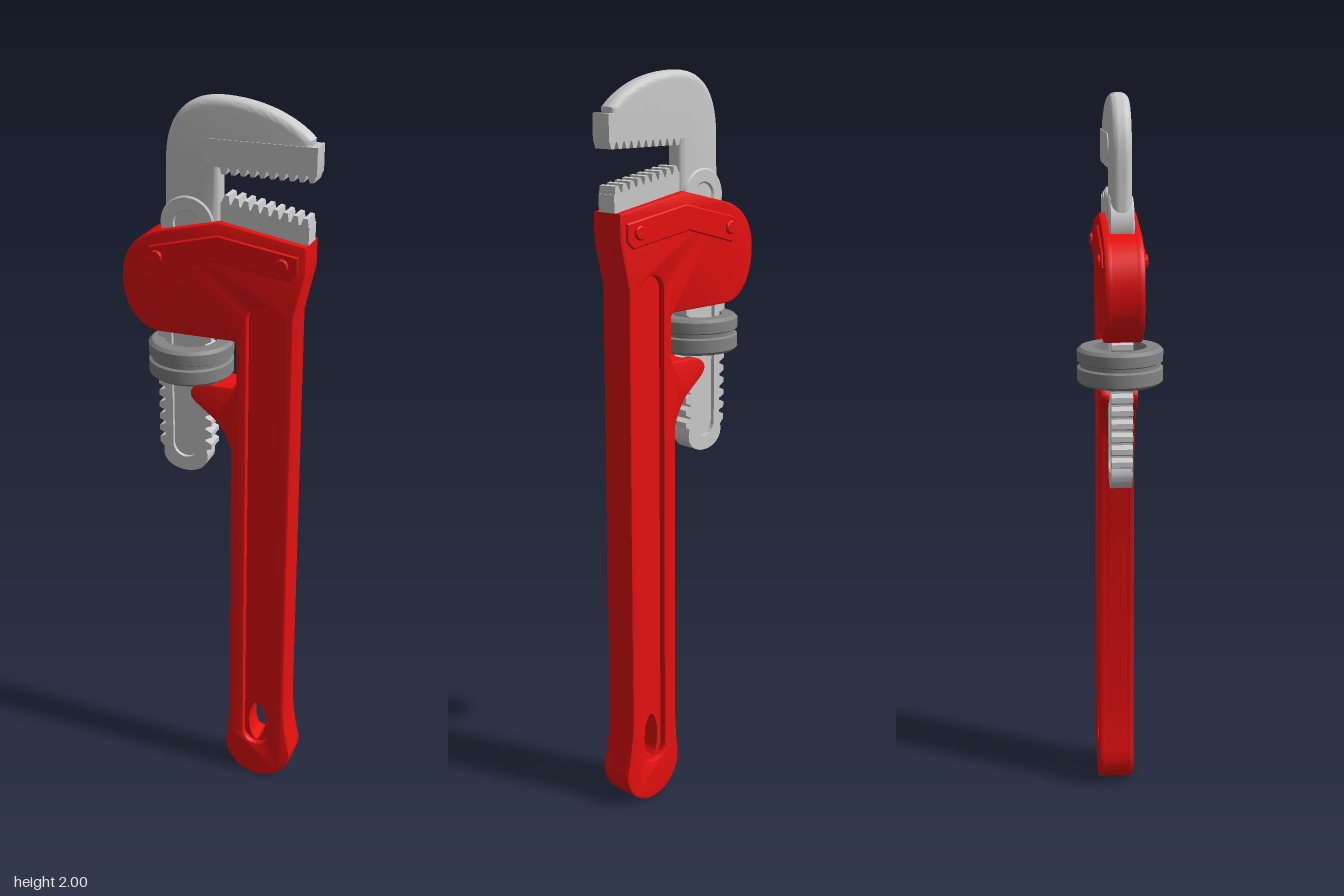
import * as THREE from 'three';
import { toCreasedNormals } from 'three/addons/utils/BufferGeometryUtils.js';

const red = new THREE.MeshStandardMaterial({ color: 0xe81010 });
const grey = new THREE.MeshStandardMaterial({ color: 0xcccccc });
const darkGrey = new THREE.MeshStandardMaterial({ color: 0x858585 });

// Slab in the xy plane, centred on z, with bevelled rims kept inside the outline
function slab(shape, z, thickness, bevel = 0, segments = 1) {
  const geo = new THREE.ExtrudeGeometry(shape, {
    depth: thickness - 2 * bevel, curveSegments: 16, bevelEnabled: bevel > 0,
    bevelThickness: bevel, bevelSize: bevel, bevelOffset: -bevel, bevelSegments: segments,
  });
  geo.translate(0, 0, z - (thickness - 2 * bevel) / 2);
  return toCreasedNormals(geo, 0.6);
}

function polygon(points) {
  return new THREE.Shape(points.map(([x, y]) => new THREE.Vector2(x, y)));
}

// Upright slot with round ends
function slot(x, y0, y1, r) {
  const p = new THREE.Path();
  p.absarc(x, y0 + r, r, Math.PI, 2 * Math.PI, false);
  p.absarc(x, y1 - r, r, 0, Math.PI, false);
  p.closePath();
  return p;
}

// Row of teeth from a to b, standing out by (nx, ny)
function teeth(a, b, count, nx, ny) {
  const pts = [];
  for (let i = 0; i < count; i++) {
    for (const [t, h] of [[0.08, 0], [0.3, 1], [0.7, 1], [0.92, 0]]) {
      const k = (i + t) / count;
      pts.push([a[0] + (b[0] - a[0]) * k + nx * h, a[1] + (b[1] - a[1]) * k + ny * h]);
    }
  }
  return pts;
}

// Rounded back end of the head
function headBack(s) {
  s.bezierCurveTo(-0.215, 1.65, -0.255, 1.6, -0.255, 1.53);
  s.bezierCurveTo(-0.255, 1.455, -0.215, 1.39, -0.15, 1.39);
}

// Handle and head outline; the core leaves a channel free for the hook jaw
function bodyOutline(core) {
  const s = new THREE.Shape();
  s.moveTo(0.212, 1.47);
  s.lineTo(0.24, 1.59);
  s.lineTo(0.24, 1.66);
  if (core) {
    s.lineTo(0, 1.665);
    s.lineTo(0, 1.39);
  } else {
    s.lineTo(0.01, 1.7);
    s.lineTo(-0.14, 1.665);
    headBack(s);
  }
  s.lineTo(0.045, 1.39);
  s.quadraticCurveTo(0.06, 1.39, 0.06, 1.375);
  s.lineTo(0.06, 1.275);
  s.quadraticCurveTo(0.06, 1.26, 0.045, 1.26);
  s.lineTo(0, 1.26);
  if (!core) s.bezierCurveTo(-0.05, 1.262, -0.1, 1.235, -0.045, 1.195);
  s.lineTo(0, 1.16);
  s.quadraticCurveTo(0.03, 1.13, 0.045, 1.08);
  s.lineTo(0.045, 0.28);
  s.quadraticCurveTo(0.045, 0.2, 0.035, 0.12);
  s.absarc(0.135, 0.1, 0.1, Math.PI, 2 * Math.PI, false);
  s.quadraticCurveTo(0.212, 0.2, 0.212, 0.28);
  s.closePath();
  return s;
}

export function createModel() {
  const model = new THREE.Group();
  const add = (name, geo, mat, parent = model) => {
    const mesh = new THREE.Mesh(geo, mat);
    mesh.name = name;
    parent.add(mesh);
    return mesh;
  };

  // Handle core with the hanging hole
  const core = bodyOutline(true);
  core.holes.push(new THREE.Path().absellipse(0.127, 0.185, 0.025, 0.067, 0, 2 * Math.PI, true));
  add('handleCore', slab(core, 0, 0.064), red);
  const back = new THREE.Shape();
  back.moveTo(-0.14, 1.665);
  headBack(back);
  back.lineTo(-0.16, 1.39);
  back.lineTo(-0.16, 1.66);
  add('headBack', slab(back, 0, 0.064), red);

  // Outer cheeks with the long groove, head plates and rivets on both sides
  const cheek = bodyOutline(false);
  cheek.holes.push(slot(0.128, 0.115, 1.495, 0.039));
  const plate = polygon([[-0.19, 1.585], [-0.165, 1.555], [0, 1.6], [0.2, 1.57],
    [0.222, 1.59], [0.222, 1.635], [0.01, 1.668], [-0.175, 1.622]]);
  for (const side of [1, -1]) {
    const sideGroup = new THREE.Group();
    sideGroup.name = side > 0 ? 'frontSide' : 'backSide';
    model.add(sideGroup);
    add('cheek', slab(cheek, side * 0.038, 0.024, 0.006, 2), red, sideGroup);
    add('headPlate', slab(plate, side * 0.05, 0.013, 0.003), red, sideGroup);
    for (const [x, y] of [[-0.156, 1.595], [0.18, 1.61]]) {
      const rivet = new THREE.Shape().absarc(x, y, 0.018, 0, 2 * Math.PI, false);
      add('rivet', slab(rivet, side * 0.055, 0.018, 0.003), red, sideGroup);
    }
  }

  // Fixed lower jaw with sloping teeth
  const heel = polygon([[0.01, 1.62], [0.238, 1.6], [0.24, 1.705],
    ...teeth([0.24, 1.705], [0.01, 1.747], 9, 0.003, 0.019), [0.01, 1.747]]);
  add('lowerJaw', slab(heel, 0, 0.057), grey);

  // Hook jaw: rounded arm
  const hook = new THREE.Shape();
  hook.moveTo(-0.15, 1.4);
  hook.lineTo(-0.015, 1.4);
  hook.lineTo(0.005, 1.72);
  hook.lineTo(0.005, 1.835);
  hook.lineTo(0.235, 1.835);
  hook.lineTo(0.24, 1.915);
  hook.bezierCurveTo(0.19, 1.965, 0.1, 2, 0, 2);
  hook.bezierCurveTo(-0.1, 2, -0.142, 1.93, -0.142, 1.83);
  hook.closePath();
  add('hookJaw', slab(hook, 0, 0.053, 0.02, 5), grey);

  // Toothed pad under the hook
  const pad = new THREE.Shape();
  pad.moveTo(0.255, 1.9);
  pad.lineTo(-0.01, 1.9);
  pad.absarc(-0.01, 1.866, 0.034, Math.PI / 2, 1.5 * Math.PI, false);
  for (const [x, y] of teeth([0.005, 1.832], [0.255, 1.832], 10, 0, -0.017)) pad.lineTo(x, y);
  pad.lineTo(0.255, 1.832);
  pad.closePath();
  add('upperJawPad', slab(pad, 0, 0.058), grey);

  // Threaded shank with a sunken web
  const makeShank = () => {
    const s = new THREE.Shape();
    s.moveTo(-0.15, 1.06);
    s.bezierCurveTo(-0.172, 1.01, -0.13, 0.985, -0.092, 0.985);
    s.bezierCurveTo(-0.054, 0.985, -0.012, 1.01, -0.034, 1.06);
    for (const [x, y] of teeth([-0.034, 1.05], [-0.034, 1.43], 11, 0.017, 0)) s.lineTo(x, y);
    s.lineTo(-0.034, 1.45);
    s.lineTo(-0.15, 1.45);
    for (const [x, y] of teeth([-0.15, 1.43], [-0.15, 1.05], 11, -0.017, 0)) s.lineTo(x, y);
    s.closePath();
    return s;
  };
  const shank = makeShank();
  shank.holes.push(slot(-0.092, 1.025, 1.42, 0.036));
  add('shank', slab(shank, 0, 0.056), grey);
  add('shankWeb', new THREE.BoxGeometry(0.08, 0.4, 0.034).translate(-0.092, 1.222, 0), grey);

  // Spring collar at the foot of the hook
  const collar = new THREE.Shape().absarc(-0.08, 1.68, 0.073, 0, 2 * Math.PI, false);
  collar.holes.push(new THREE.Path().absarc(-0.08, 1.68, 0.034, 0, 2 * Math.PI, true));
  add('springCollar', slab(collar, 0, 0.063, 0.004), grey);

  // Adjusting nut with a groove round its middle
  const profile = [[0.07, 0], [0.104, 0], [0.113, 0.008], [0.113, 0.042], [0.106, 0.046],
    [0.106, 0.056], [0.113, 0.06], [0.113, 0.088], [0.104, 0.096], [0.07, 0.096], [0.07, 0]];
  const nut = new THREE.LatheGeometry(profile.map(([r, y]) => new THREE.Vector2(r, y)), 32);
  add('adjustingNut', toCreasedNormals(nut, 0.5), darkGrey).position.set(-0.083, 1.27, 0);

  return model;
}
